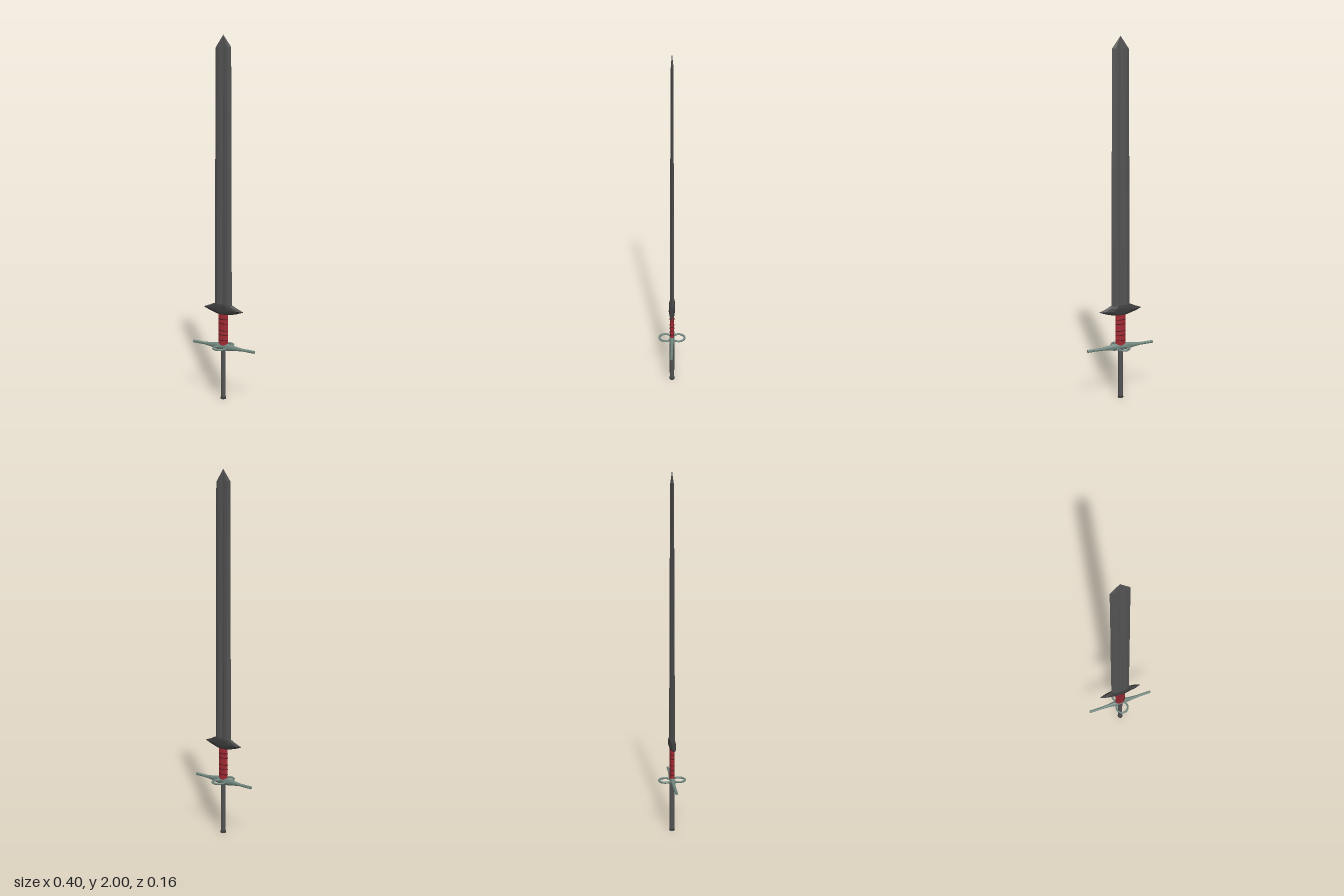
import * as THREE from 'three';

const mat = (name, color) => {
  const m = new THREE.MeshStandardMaterial({ color });
  m.name = name;
  return m;
};

// Closed skin over rings stacked along y; each ring is [y, [[x, z], ...]] running from +x towards +z
function loft(rings) {
  const pos = [];
  const n = rings[0][1].length;
  const pt = (r, i) => [rings[r][1][i % n][0], rings[r][0], rings[r][1][i % n][1]];
  const tri = (a, b, c) => pos.push(...a, ...b, ...c);
  for (let r = 0; r < rings.length - 1; r++) {
    for (let i = 0; i < n; i++) {
      tri(pt(r, i), pt(r + 1, i), pt(r + 1, i + 1));
      tri(pt(r, i), pt(r + 1, i + 1), pt(r, i + 1));
    }
  }
  const last = rings.length - 1;
  for (let i = 0; i < n; i++) {
    tri([0, rings[0][0], 0], pt(0, i), pt(0, i + 1));
    tri([0, rings[last][0], 0], pt(last, i + 1), pt(last, i));
  }
  const g = new THREE.BufferGeometry();
  g.setAttribute('position', new THREE.Float32BufferAttribute(pos, 3));
  g.computeVertexNormals();
  return g;
}

// Mirrors a quarter outline (starting on +x) into a full ring
function mirrorRing(quarter) {
  const half = [...quarter, ...quarter.slice().reverse().filter(p => p[0] > 0 && p[1] > 0).map(([x, z]) => [-x, z])];
  const back = half.slice(1).reverse().map(([x, z]) => [x, -z]);
  return [...half, [-quarter[0][0], 0], ...back];
}

const ellipse = (rx, rz, n) => Array.from({ length: n }, (_, i) => {
  const a = (i / n) * Math.PI * 2;
  return [rx * Math.cos(a), rz * Math.sin(a)];
});

export function createModel() {
  const model = new THREE.Group();
  const steel = mat('dark steel', 0x525252);
  const iron = mat('black iron', 0x3b3b3b);
  const red = mat('red leather', 0xa32a33);
  const cord = mat('dark cord', 0x4a1a1e);
  const green = mat('grey green metal', 0x6f857d);
  const add = (name, geometry, material, x = 0, y = 0, z = 0) => {
    const m = new THREE.Mesh(geometry, material);
    m.name = name;
    m.position.set(x, y, z);
    model.add(m);
    return m;
  };

  // Blade: bevelled edges with a shallow central groove, thinning to the tip
  const bladeRing = (w, t) => mirrorRing([[w, 0], [w * 0.62, t], [w * 0.25, t], [w * 0.12, t * 0.7]]);
  add('blade', loft([
    [0.52, bladeRing(0.055, 0.012)],
    [0.88, bladeRing(0.054, 0.011)],
    [1.32, bladeRing(0.052, 0.009)],
    [1.6, bladeRing(0.05, 0.008)],
    [1.935, bladeRing(0.049, 0.006)],
    [2.0, bladeRing(0.0005, 0.0005)],
  ]), steel);

  // Collar: lens-shaped block below the blade
  const collarRing = (w, t) => mirrorRing([[w, 0], [w * 0.74, t * 0.6], [w * 0.32, t]]);
  add('collar', loft([
    [0.488, collarRing(0.045, 0.013)],
    [0.5, collarRing(0.09, 0.017)],
    [0.515, collarRing(0.13, 0.018)],
    [0.53, collarRing(0.09, 0.017)],
    [0.543, collarRing(0.062, 0.014)],
  ]), iron);

  // Grip: oval red core with cord windings
  add('grip', loft([[0.31, ellipse(0.03, 0.0125, 16)], [0.49, ellipse(0.03, 0.0125, 16)]]), red);
  for (const y of [0.34, 0.37, 0.395, 0.435, 0.46]) {
    add('gripWinding', loft([
      [y - 0.002, ellipse(0.031, 0.0135, 16)],
      [y + 0.002, ellipse(0.031, 0.0135, 16)],
    ]), cord);
  }

  // Crossguard: round bar swelling at the middle
  const guard = loft([
    [-0.2, 0.008, 0.008], [-0.12, 0.008, 0.008], [-0.075, 0.014, 0.01], [-0.035, 0.021, 0.014],
    [0.035, 0.021, 0.014], [0.075, 0.014, 0.01], [0.12, 0.008, 0.008], [0.2, 0.008, 0.008],
  ].map(([s, h, d]) => [s, ellipse(h, d, 12)]));
  guard.rotateZ(-Math.PI / 2);
  add('crossguard', guard, green, 0, 0.302, 0);

  // Side rings, front and back
  for (const side of [1, -1]) {
    const ring = new THREE.TorusGeometry(0.035, 0.006, 10, 32);
    ring.rotateX(Math.PI / 2);
    add('sideRing', ring, green, 0, 0.302, side * 0.038);
  }

  // Lower rod and its end cap
  add('rod', new THREE.CylinderGeometry(0.0135, 0.0135, 0.29, 16), steel, 0, 0.153, 0);
  add('pommelCap', new THREE.CylinderGeometry(0.0145, 0.016, 0.012, 16), iron, 0, 0.006, 0);
  return model;
}
